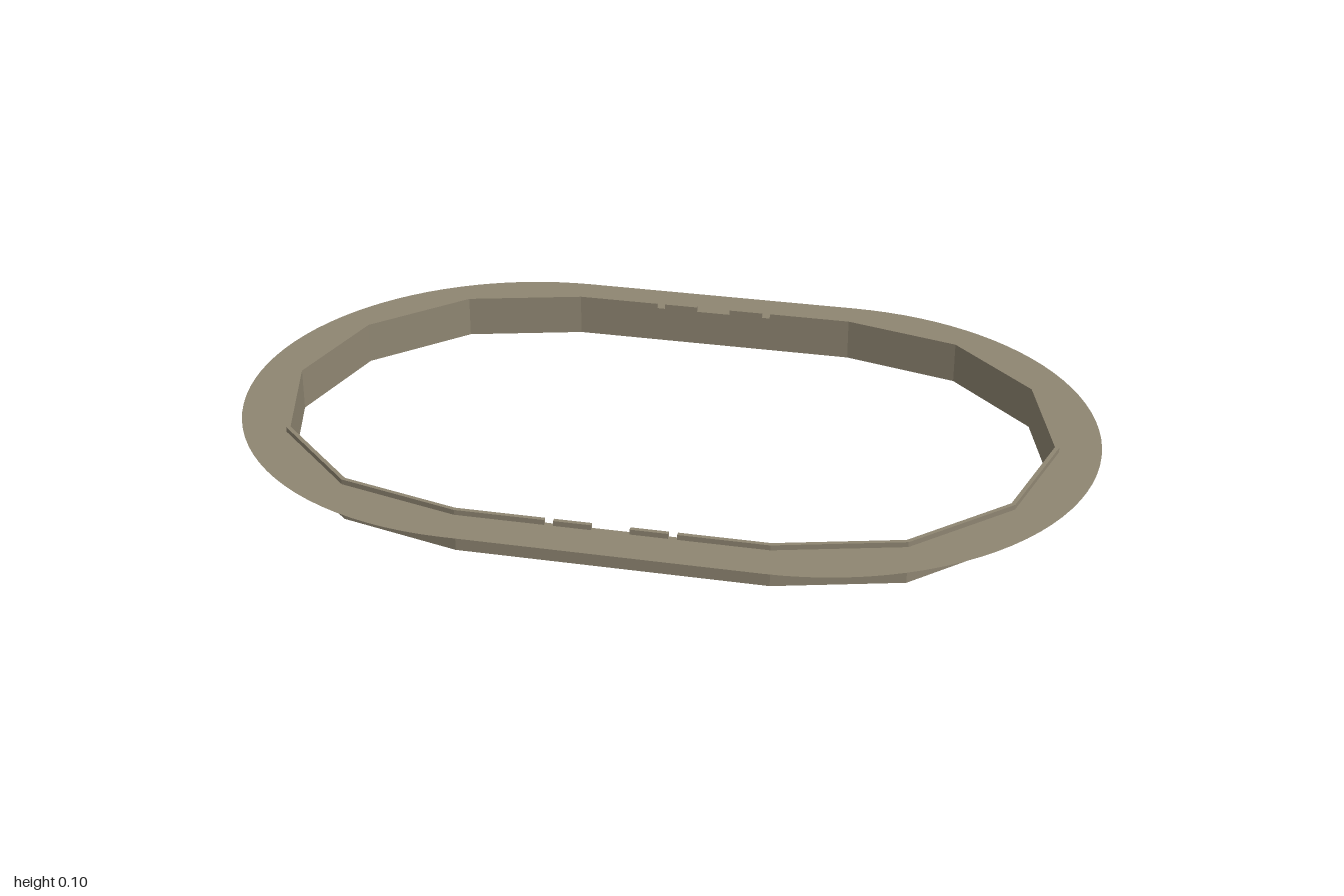
import * as THREE from 'three';

const HALF = 0.345;     // half length of the straight sides
const WALL_R = 0.56;    // outer radius of the faceted wall
const WALL_T = 0.01;
const RIM_R = 0.655;    // outer radius of the flat flange
const LEDGE = 0.088;    // flange height
const TOP = 0.1;

// Points round one end, from the +y side to the -y side
function endArc(radius, steps) {
  const pts = [];
  for (let i = 0; i <= steps; i++) {
    const a = Math.PI / 2 - (i / steps) * Math.PI;
    pts.push(new THREE.Vector2(HALF + radius * Math.cos(a), radius * Math.sin(a)));
  }
  return pts;
}

// Closed loop with straight sides and two rounded ends
function stadium(radius, steps) {
  const right = endArc(radius, steps);
  return [...right, ...right.map((p) => new THREE.Vector2(-p.x, -p.y))];
}

function ring(outer, inner) {
  const shape = new THREE.Shape(outer);
  shape.holes.push(new THREE.Path(inner));
  return shape;
}

export function createModel() {
  const group = new THREE.Group();
  const material = new THREE.MeshStandardMaterial({ color: 0x8f8672, side: THREE.DoubleSide });
  material.name = 'warm grey';

  const add = (name, geometry) => {
    const mesh = new THREE.Mesh(geometry, material);
    mesh.name = name;
    group.add(mesh);
    return mesh;
  };
  const raise = (shape, y0, y1) =>
    new THREE.ExtrudeGeometry(shape, { depth: y1 - y0, bevelEnabled: false })
      .rotateX(-Math.PI / 2).translate(0, y0, 0);

  // Faceted wall below the flange
  const inR = WALL_R - WALL_T;
  add('wall', raise(ring(stadium(WALL_R, 6), stadium(inR, 6)), 0, LEDGE));

  // Raised lip above the flange, interrupted by notches on both long sides
  const gap = 0.145;
  const lip = new THREE.Shape([
    new THREE.Vector2(gap, WALL_R), ...endArc(WALL_R, 6), new THREE.Vector2(gap, -WALL_R),
    new THREE.Vector2(gap, -inR), ...endArc(inR, 6).reverse(), new THREE.Vector2(gap, inR),
  ]);
  add('lipLeft', raise(lip, LEDGE, TOP));
  add('lipRight', raise(lip, LEDGE, TOP).rotateY(Math.PI));

  for (const sz of [1, -1]) {
    for (const sx of [1, -1]) {
      const tab = add('lipTab', new THREE.BoxGeometry(0.083, TOP - LEDGE, WALL_T));
      tab.position.set(sx * 0.0835, (TOP + LEDGE) / 2, sz * (WALL_R - WALL_T / 2));
    }
    // Thin backing strip under the straight part of the flange
    const strip = add('flangeStrip', new THREE.BoxGeometry(HALF * 2, 0.004, 0.045));
    strip.position.set(0, LEDGE - 0.003, sz * (WALL_R + 0.0225));
  }

  // Flat sheet flange with a smooth outer edge
  add('flange', new THREE.ShapeGeometry(ring(stadium(RIM_R, 48), stadium(WALL_R, 6)))
    .rotateX(-Math.PI / 2).translate(0, LEDGE, 0));

  return group;
}
